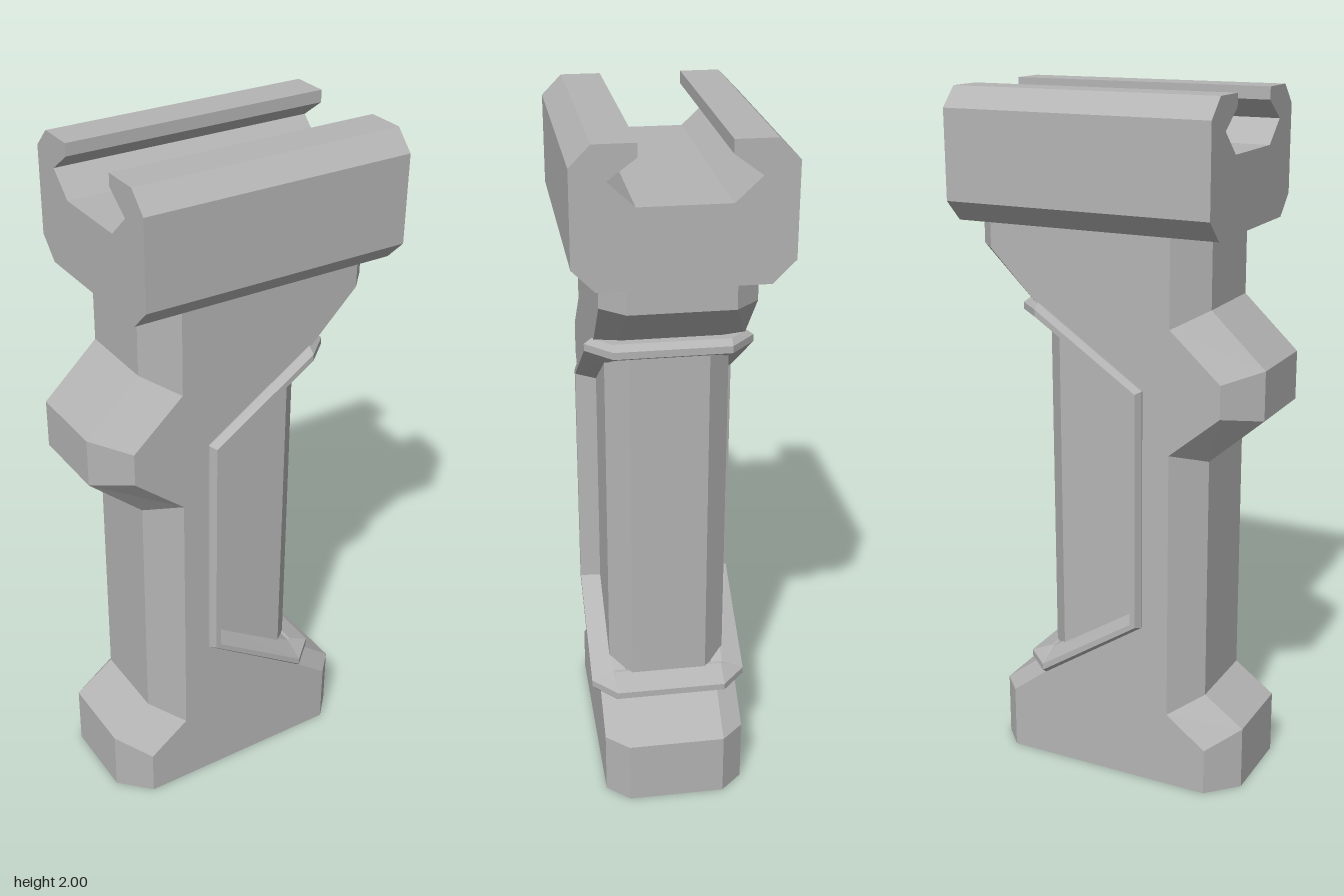
import * as THREE from 'three';

const material = new THREE.MeshStandardMaterial({ color: 0xb4b4b4 });
material.name = 'grey';

// Faceted skin through a row of rings; either closed into a loop or capped at both ends
function loft(rings, closed) {
  const pos = [];
  const tri = (...pts) => pts.forEach((p) => pos.push(...p));
  const n = rings[0].length;
  const last = closed ? rings.length : rings.length - 1;
  for (let r = 0; r < last; r++) {
    const A = rings[r], B = rings[(r + 1) % rings.length];
    for (let i = 0; i < n; i++) {
      const j = (i + 1) % n;
      tri(A[i], B[i], A[j]);
      tri(A[j], B[i], B[j]);
    }
  }
  if (!closed) {
    const front = rings[0], back = rings[rings.length - 1];
    const flat = front.map((p) => new THREE.Vector2(p[0], p[1]));
    for (const [a, b, c] of THREE.ShapeUtils.triangulateShape(flat, [])) {
      tri(front[a], front[b], front[c]);
      tri(back[a], back[c], back[b]);
    }
  }
  const geo = new THREE.BufferGeometry();
  geo.setAttribute('position', new THREE.Float32BufferAttribute(pos, 3));
  geo.computeVertexNormals();
  return geo;
}

// Slab with chamfered edges: rows are [face x, face y, rim x, rim y, rim z]
function chamferedSlab(rows, faceZ) {
  const face = (s) => rows.map((r) => [r[0], r[1], s * faceZ]);
  const rim = (s) => rows.map((r) => [r[2], r[3], s * r[4]]);
  return loft([face(1), rim(1), rim(-1), face(-1)], false);
}

export function createModel() {
  const group = new THREE.Group();
  const add = (name, geo) => {
    const mesh = new THREE.Mesh(geo, material);
    mesh.name = name;
    group.add(mesh);
  };

  // Main body: foot, notched column, rear bump and flared neck
  add('body', chamferedSlab([
    [-0.32, 0, -0.405, 0, 0.12],
    [0.315, 0, 0.375, 0, 0.14],
    [0.315, 0.19, 0.375, 0.19, 0.14],
    [0.2, 0.28, 0.255, 0.285, 0.14],
    [-0.09, 0.51, -0.09, 0.51, 0.14],
    [-0.09, 1.19, -0.09, 1.19, 0.14],
    [0.2, 1.41, 0.215, 1.41, 0.14],
    [0.35, 1.56, 0.41, 1.56, 0.14],
    [0.35, 1.65, 0.41, 1.65, 0.14],
    [-0.2, 1.65, -0.285, 1.65, 0.12],
    [-0.2, 1.385, -0.285, 1.43, 0.12],
    [-0.35, 1.25, -0.445, 1.28, 0.12],
    [-0.35, 1.155, -0.445, 1.14, 0.12],
    [-0.2, 1.03, -0.285, 1.0, 0.12],
    [-0.2, 0.23, -0.285, 0.275, 0.12],
    [-0.32, 0.14, -0.405, 0.19, 0.12],
  ], 0.205));

  // Recessed hand grip
  add('gripInsert', chamferedSlab([
    [-0.11, 0.5, -0.11, 0.5, 0.11],
    [0.155, 0.31, 0.215, 0.31, 0.11],
    [0.155, 1.39, 0.215, 1.39, 0.11],
    [-0.11, 1.2, -0.11, 1.2, 0.11],
  ], 0.172));

  // Raised trim around the grip: section points are [inset, depth]
  const section = [[0, 0.1], [0, 0.02], [0.015, 0], [0.035, 0], [0.065, 0.065], [0.065, 0.1]];
  const midY = 0.85;
  const station = (corner, side, up) => section.map(([w, d]) => {
    const z = side * (0.23 - d);
    if (corner === 'nose') return [0.275 - d, midY + up * (0.57 - w), side * 0.16];
    if (corner === 'shoulder') return [0.2, midY + up * (0.57 - w), z];
    return [-0.12 + w * 0.8, midY + up * (0.355 - w * 0.35), z];
  });
  const half = (side) => [
    station('nose', side, 1), station('shoulder', side, 1), station('rear', side, 1),
    station('rear', side, -1), station('shoulder', side, -1), station('nose', side, -1),
  ];
  add('gripTrim', loft([...half(1), ...half(-1).reverse()], true));

  // Slotted mounting rail on top, extruded along x
  const side = [[0.22, 1.635], [0.28, 1.695], [0.28, 1.945], [0.225, 2],
    [0.115, 2], [0.115, 1.965], [0.19, 1.91], [0.12, 1.845]];
  const outline = [...side, ...side.map(([z, y]) => [-z, y]).reverse()];
  const rail = new THREE.ExtrudeGeometry(
    new THREE.Shape(outline.map(([z, y]) => new THREE.Vector2(z, y))),
    { depth: 0.785, bevelEnabled: false },
  );
  rail.rotateY(Math.PI / 2);
  rail.translate(-0.345, 0, 0);
  add('mountingRail', rail);

  return group;
}
